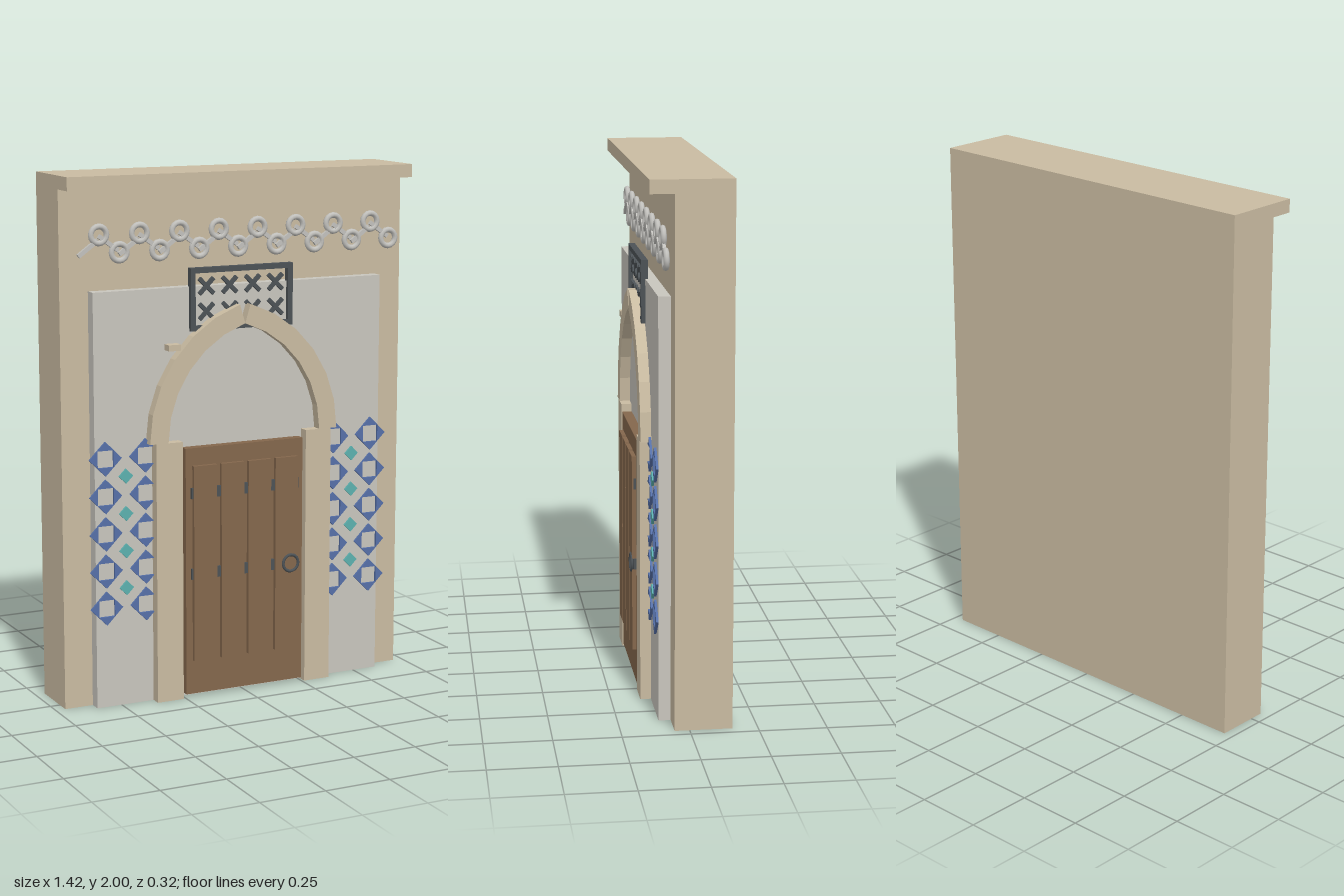
import * as THREE from 'three';

const mat = (name, color) => {
  const m = new THREE.MeshStandardMaterial({ color });
  m.name = name;
  return m;
};

export function createModel() {
  const root = new THREE.Group();
  root.name = 'archedDoorway';
  const stone = mat('sandstone', 0xc9bba1);
  const plaster = mat('plaster', 0xc8c5bd);
  const wood = mat('wood', 0x84674c);
  const iron = mat('iron', 0x4c5256);
  const blue = mat('blueTile', 0x5670a8);
  const teal = mat('tealTile', 0x5cb0ae);
  const silver = mat('paleMetal', 0xc2c1bd);

  const add = (name, geo, material, x = 0, y = 0, z = 0, rz = 0, parent = root) => {
    const mesh = new THREE.Mesh(geo, material);
    mesh.name = name;
    mesh.position.set(x, y, z);
    mesh.rotation.z = rz;
    parent.add(mesh);
    return mesh;
  };
  // Box given by its limits on each axis
  const block = (name, material, x0, x1, y0, y1, z0, z1, parent = root) =>
    add(name, new THREE.BoxGeometry(x1 - x0, y1 - y0, z1 - z0), material,
      (x0 + x1) / 2, (y0 + y1) / 2, (z0 + z1) / 2, 0, parent);
  const group = (name) => {
    const g = new THREE.Group();
    g.name = name;
    root.add(g);
    return g;
  };
  const plate = (points, depth) => new THREE.ExtrudeGeometry(
    new THREE.Shape(points.map(([x, y]) => new THREE.Vector2(x, y))),
    { depth, bevelEnabled: false });

  // Wall, cornice and raised plaster panel
  block('wall', stone, -0.712, 0.712, 0, 2, -0.157, 0.055);
  block('cornice', stone, -0.712, 0.712, 1.95, 2, 0.055, 0.143);
  block('plasterPanel', plaster, -0.6, 0.6, 0, 1.575, 0.055, 0.1);
  block('smallBracket', stone, -0.315, -0.265, 1.345, 1.368, 0.1, 0.14);

  // Jambs and the two halves of the pointed arch
  const C = 0.132, R_IN = 0.45, R_OUT = 0.525, STEPS = 6;
  const END = Math.acos(C / R_IN);
  for (const s of [1, -1]) {
    block('jamb', stone, s > 0 ? 0.26 : -0.368, s > 0 ? 0.368 : -0.26, 0, 1, 0.1, 0.14);
    const pts = [];
    const arc = (r, i) => {
      const a = END * i / STEPS;
      pts.push([s * (r * Math.cos(a) - C), 1 + r * Math.sin(a)]);
    };
    for (let i = 0; i <= STEPS; i++) arc(R_OUT, i);
    for (let i = STEPS; i >= 0; i--) arc(R_IN, i);
    add('archHalf', plate(pts, 0.04), stone, 0, 0, 0.1);
  }

  // Door with planks, iron straps and a ring handle
  const door = group('door');
  block('doorLeaf', wood, -0.247, 0.247, 0.015, 0.972, 0.1, 0.137, door);
  for (const x of [-0.172, -0.057, 0.057, 0.172])
    block('plank', wood, x - 0.048, x + 0.048, 0.147, 0.905, 0.137, 0.153, door);
  for (const y of [0.8, 0.487])
    block('strap', iron, -0.227, 0.225, y - 0.021, y + 0.021, 0.137, 0.147, door);
  add('ringHandle', new THREE.TorusGeometry(0.032, 0.006, 8, 24), iron, 0.19, 0.487, 0.153, 0, door);

  // Window grille above the arch
  const grille = group('grille');
  for (const y of [1.419, 1.635])
    block('grilleRail', iron, -0.213, 0.213, y - 0.01, y + 0.01, 0.09, 0.115, grille);
  for (const x of [-0.203, 0.203])
    block('grilleStile', iron, x - 0.01, x + 0.01, 1.409, 1.645, 0.09, 0.115, grille);
  const crossBar = new THREE.BoxGeometry(0.082, 0.015, 0.012);
  for (const x of [-0.144, -0.048, 0.048, 0.144])
    for (const y of [1.575, 1.48])
      for (const a of [1, -1])
        add('grilleCross', crossBar, iron, x, y, 0.104, a * Math.PI / 4, grille);

  // Zigzag chain of rings and links
  const chain = group('chain');
  const ring = new THREE.TorusGeometry(0.031, 0.011, 8, 16);
  const link = new THREE.BoxGeometry(0.095, 0.016, 0.012);
  for (let i = 0; i < 16; i++) {
    const x = -0.565 + i * 0.0807, up = i % 2 === 0;
    add('chainRing', ring, silver, x, up ? 1.782 : 1.715, 0.08, 0, chain);
    add('chainLink', link, silver, x - 0.043, up ? 1.735 : 1.75, 0.08,
      up ? 0.62 : -0.62, chain);
  }

  // Tile field on each side: four-pointed blue stars with teal lozenges between
  const tiles = group('tiles');
  const point = plate([[-0.033, 0.032], [0.033, 0.032], [0, 0.065]], 0.009);
  const lozenge = plate([[0.028, 0], [0, 0.028], [-0.028, 0], [0, -0.028]], 0.009);
  for (const s of [1, -1]) {
    for (let row = 0; row < 5; row++) {
      const y = 0.386 + row * 0.1425;
      for (const x of [0.398, 0.56])
        for (let k = 0; k < 4; k++)
          add('starPoint', point, blue, s * x, y, 0.102, k * Math.PI / 2, tiles);
      if (row < 4) add('lozenge', lozenge, teal, s * 0.478, y + 0.071, 0.102, 0, tiles);
    }
  }
  return root;
}
